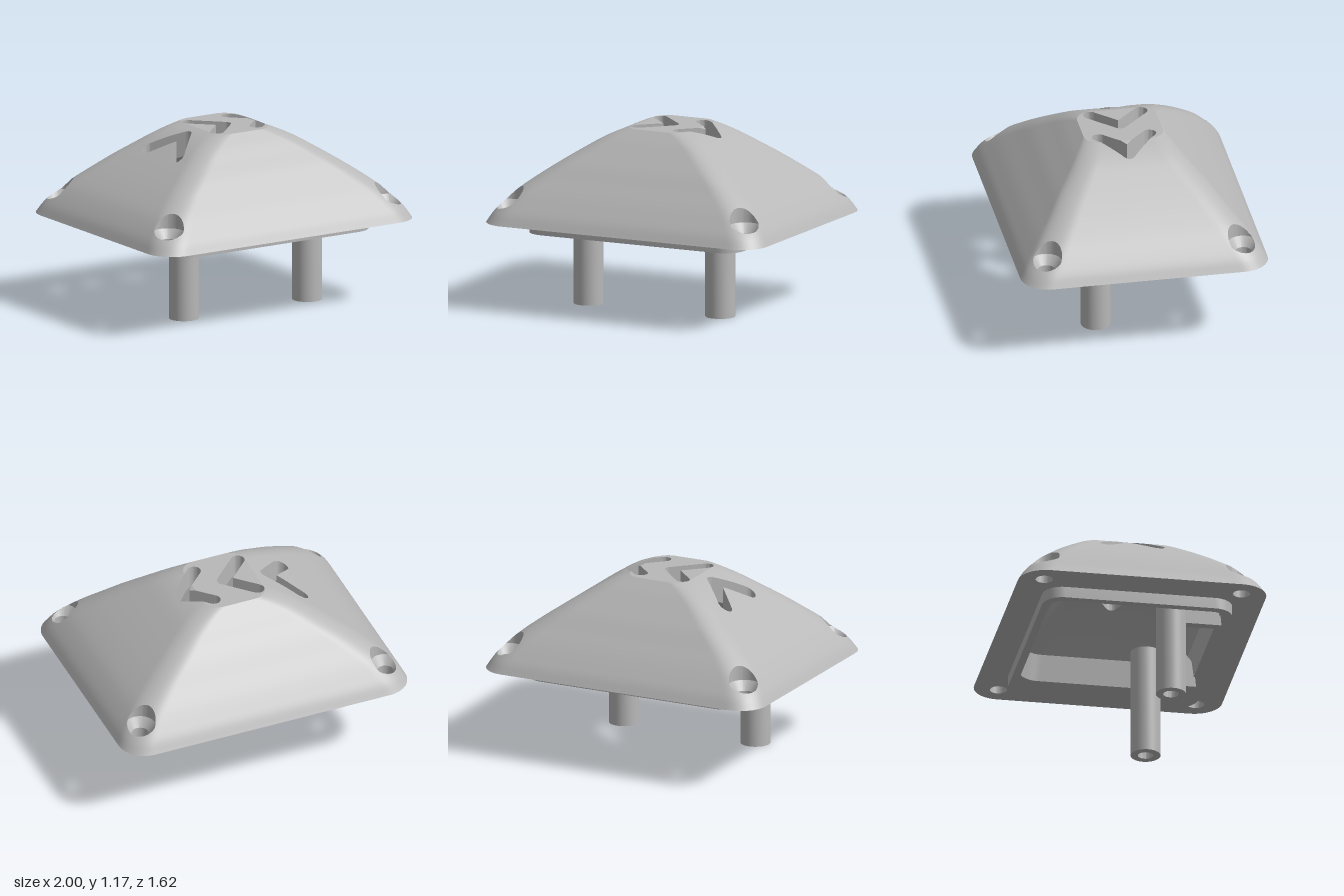
import * as THREE from 'three';
import { toCreasedNormals } from 'three/addons/utils/BufferGeometryUtils.js';

const BASE = 0.569, TOP = 1.172, THICK = 0.16, LIP = 0.074;
const SCREW = { x: 0.855, z: 0.645, r: 0.055, head: 0.1, low: 0.64, high: 0.70 };

// Rounded rectangle as [x, z] points, counter-clockwise seen from above
function ring(a, b, r, nx = 60, nz = 50, nc = 10) {
  const pts = [];
  const corner = (q, k) => {
    const t = (q + k / nc) * Math.PI / 2;
    const sx = q === 0 || q === 3 ? 1 : -1, sz = q < 2 ? -1 : 1;
    return new THREE.Vector2(sx * (a - r) + r * Math.cos(t), sz * (b - r) - r * Math.sin(t));
  };
  for (let q = 0; q < 4; q++) {
    for (let k = 0; k < nc; k++) pts.push(corner(q, k));
    const from = corner(q, nc), to = corner((q + 1) % 4, 0), n = q % 2 ? nz : nx;
    for (let k = 0; k < n; k++) pts.push(from.clone().lerp(to, k / n));
  }
  return pts;
}

// Skin through rounded-rectangle sections { y, a, b, r }, bottom to top
function loft(rows) {
  const pos = [], index = [];
  let n = 0;
  rows.forEach(({ y, a, b, r }) => {
    const pts = ring(a, b, r);
    n = pts.length;
    pts.forEach(p => pos.push(p.x, y, p.y));
  });
  for (let i = 0; i < rows.length - 1; i++) {
    for (let j = 0; j < n; j++) {
      const k = (j + 1) % n, A = i * n + j, B = i * n + k, C = B + n, D = A + n;
      index.push(A, B, C, A, C, D);
    }
  }
  const g = new THREE.BufferGeometry();
  g.setAttribute('position', new THREE.Float32BufferAttribute(pos, 3));
  g.setIndex(index);
  g.computeVertexNormals();
  return g;
}

// Three chevron slots, each made of two capsules (negative inside)
function chevrons(p) {
  let d = 1;
  for (let i = 0; i < 3; i++) {
    const dx = p.x + 0.47 - 0.305 * i, dz = 0.166 - Math.abs(p.z);
    const t = THREE.MathUtils.clamp((dx + dz) / 2, 0, 0.166);
    d = Math.min(d, Math.hypot(dx - t, dz - t) - 0.045);
  }
  return d;
}

// Countersunk corner holes (negative inside)
function screwHoles(p) {
  const t = THREE.MathUtils.clamp((p.y - SCREW.low) / (SCREW.high - SCREW.low), 0, 1);
  const r = SCREW.r + (SCREW.head - SCREW.r) * t;
  return Math.hypot(Math.abs(p.x) - SCREW.x, Math.abs(p.z) - SCREW.z) - r;
}

// Keeps the part of a geometry where f > 0; cut edges are collected in edges
function clip(geo, f, edges = [], flip = false) {
  const P = geo.attributes.position, N = geo.attributes.normal, I = geo.index;
  const verts = [];
  for (let i = 0; i < P.count; i++) {
    const p = new THREE.Vector3().fromBufferAttribute(P, i);
    verts.push({ p, n: new THREE.Vector3().fromBufferAttribute(N, i), f: f(p) });
  }
  const pos = [], nor = [], s = flip ? -1 : 1;
  for (let i = 0; i < I.count; i += 3) {
    const tri = [0, 1, 2].map(k => verts[I.getX(i + k)]);
    const poly = [];
    let exit = null, entry = null;
    tri.forEach((u, k) => {
      const v = tri[(k + 1) % 3];
      if (u.f > 0) poly.push(u);
      if ((u.f > 0) !== (v.f > 0)) {
        const t = u.f / (u.f - v.f);
        const c = { p: u.p.clone().lerp(v.p, t), n: u.n.clone().lerp(v.n, t).normalize() };
        poly.push(c);
        if (u.f > 0) exit = c; else entry = c;
      }
    });
    if (exit && entry) edges.push([entry.p, exit.p]);
    for (let k = 1; k + 1 < poly.length; k++) {
      const t = flip ? [poly[0], poly[k + 1], poly[k]] : [poly[0], poly[k], poly[k + 1]];
      t.forEach(v => { pos.push(v.p.x, v.p.y, v.p.z); nor.push(s * v.n.x, s * v.n.y, s * v.n.z); });
    }
  }
  const g = new THREE.BufferGeometry();
  g.setAttribute('position', new THREE.Float32BufferAttribute(pos, 3));
  g.setAttribute('normal', new THREE.Float32BufferAttribute(nor, 3));
  return g;
}

// Points leading from a cut edge down the wall of its hole
function wallPath(p) {
  if (Math.abs(p.x) < 0.7) return [p, new THREE.Vector3(p.x, p.y - THICK, p.z)];
  const cx = Math.sign(p.x) * SCREW.x, cz = Math.sign(p.z) * SCREW.z;
  const d = Math.hypot(p.x - cx, p.z - cz), k = SCREW.r / d;
  const low = y => new THREE.Vector3(cx + (p.x - cx) * k, y, cz + (p.z - cz) * k);
  return [p, new THREE.Vector3(p.x, Math.min(p.y, SCREW.high), p.z), low(Math.min(p.y, SCREW.low)), low(BASE)];
}

function walls(edges) {
  const pos = [];
  edges.forEach(([u, v]) => {
    const a = wallPath(u), b = wallPath(v);
    for (let i = 0; i + 1 < a.length; i++) {
      [a[i], b[i], b[i + 1], a[i], b[i + 1], a[i + 1]].forEach(q => pos.push(q.x, q.y, q.z));
    }
  });
  const g = new THREE.BufferGeometry();
  g.setAttribute('position', new THREE.Float32BufferAttribute(pos, 3));
  return toCreasedNormals(g, 0.5);
}

export function createModel() {
  const model = new THREE.Group();
  const grey = new THREE.MeshStandardMaterial({ color: 0xb8b8b8 });
  grey.name = 'grey plastic';
  const add = (name, geo, x = 0, y = 0, z = 0) => {
    const m = new THREE.Mesh(geo, grey);
    m.name = name;
    m.position.set(x, y, z);
    model.add(m);
  };

  // Profile of the dome: half width, height, half depth
  const curve = new THREE.CatmullRomCurve3([
    [1, BASE, 0.81], [0.962, 0.635, 0.772], [0.91, 0.70, 0.722], [0.84, 0.772, 0.662], [0.725, 0.864, 0.577],
    [0.60, 0.953, 0.495], [0.485, 1.03, 0.415], [0.37, 1.102, 0.34], [0.28, 1.146, 0.29], [0.21, TOP, 0.26],
  ].map(p => new THREE.Vector3(...p)));
  const rows = curve.getPoints(48).map((p, i) => ({ y: p.y, a: p.x, b: p.z, r: 0.18 - 0.08 * i / 48 }));
  const cap = [];
  for (let i = 0; i <= 12; i++) {
    const s = 1 - i / 12;
    cap.push({ y: TOP, a: 0.21 * s, b: 0.26 * s, r: 0.1 * s });
  }

  // Outer skin and the walls of its openings
  const edges = [];
  const openings = p => Math.min(chevrons(p), screwHoles(p));
  add('domeSides', clip(loft(rows), openings, edges));
  add('domeTop', clip(loft(cap), openings, edges));
  add('openingWalls', walls(edges));

  // Inner skin
  const lower = list => list.map(s => ({ ...s, y: s.y - THICK }));
  const innerRows = lower(rows.filter(s => s.y >= 0.90));
  const mouth = { y: BASE, a: 0.68, b: 0.56, r: 0.14 };
  add('innerSides', clip(loft(innerRows), chevrons, [], true));
  add('innerTop', clip(loft(lower(cap)), chevrons, [], true));
  add('cavityWall', clip(loft([mouth, innerRows[0]]), () => 1, [], true));

  // Flat underside with screw holes
  const outline = (a, b, r) => ring(a, b, r, 1, 1, 10);
  const under = new THREE.Shape(outline(1, 0.81, 0.18));
  under.holes.push(new THREE.Path(outline(mouth.a, mouth.b, mouth.r)));
  for (const sx of [-1, 1]) for (const sz of [-1, 1]) {
    under.holes.push(new THREE.Path().absarc(sx * SCREW.x, sz * SCREW.z, SCREW.r, 0, Math.PI * 2));
  }
  add('underside', new THREE.ShapeGeometry(under, 24).rotateX(Math.PI / 2), 0, BASE);

  // Locating lip
  const lip = new THREE.Shape(outline(0.765, 0.62, 0.13));
  lip.holes.push(new THREE.Path(outline(0.71, 0.57, 0.09)));
  const lipGeo = new THREE.ExtrudeGeometry(lip, { depth: LIP, bevelEnabled: false }).rotateX(Math.PI / 2);
  add('lip', toCreasedNormals(lipGeo, 0.5), 0, BASE);

  // Hollow posts, each with a rib to the front wall
  const postProfile = [[0, 0.6], [0.05, 0.6], [0.05, 0], [0.097, 0], [0.097, 0.73], [0, 0.73]]
    .map(p => new THREE.Vector2(...p));
  const postGeo = toCreasedNormals(new THREE.LatheGeometry(postProfile, 40), 0.5);
  const ribShape = new THREE.Shape([[0.33, 0.5], [0.575, 0.5], [0.56, 0.66], [0.48, 0.76], [0.33, 0.76]]
    .map(p => new THREE.Vector2(...p)));
  const ribGeo = new THREE.ExtrudeGeometry(ribShape, { depth: 0.06, bevelEnabled: false })
    .rotateY(-Math.PI / 2).translate(0.03, 0, 0);
  for (const [side, s] of [['left', 1], ['right', -1]]) {
    add(side + 'Post', postGeo, s * 0.475, 0, 0.25);
    add(side + 'Rib', ribGeo, s * 0.475);
  }
  return model;
}
